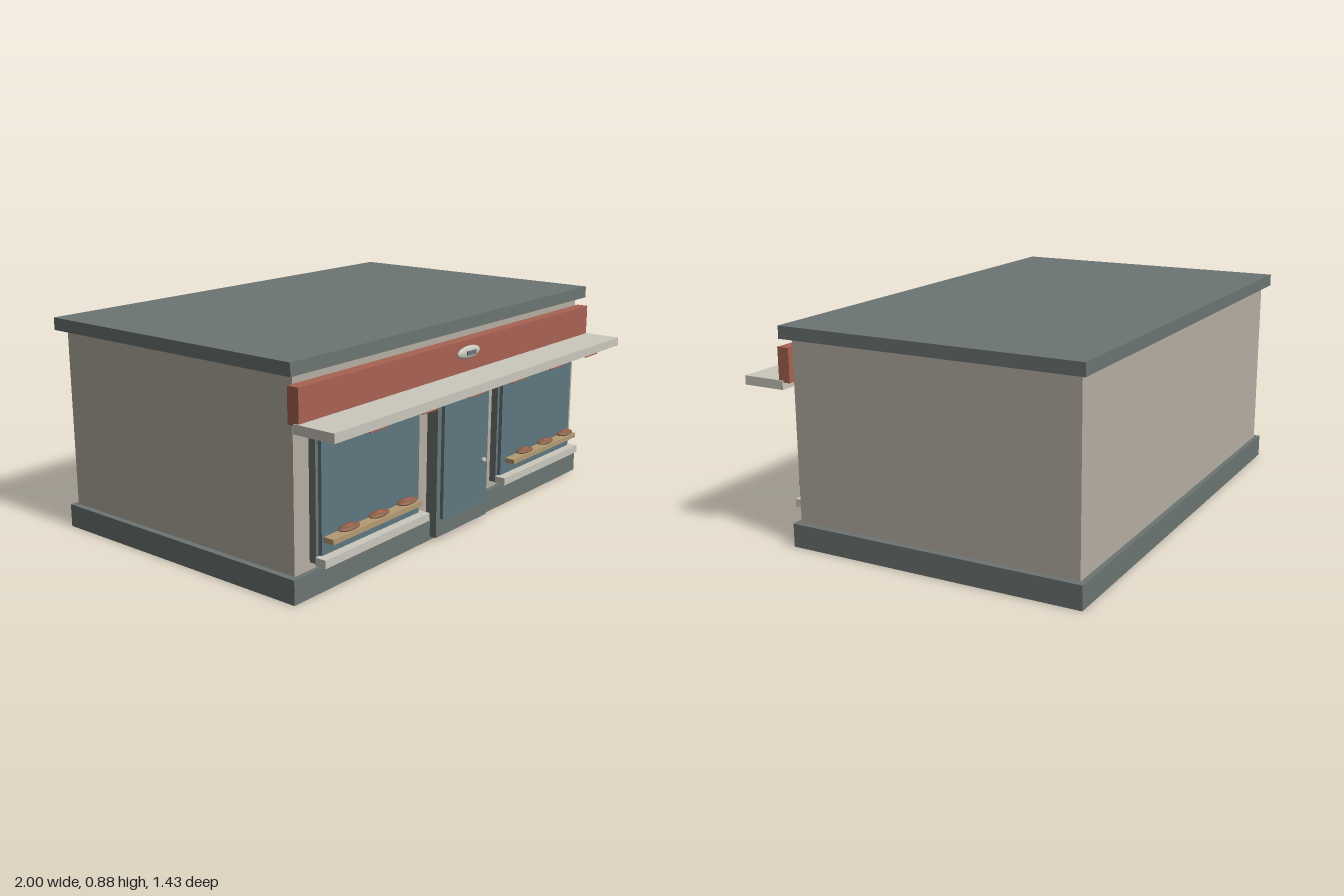
import * as THREE from 'three';

const mat = (color) => new THREE.MeshStandardMaterial({ color });

export function createModel() {
  const shop = new THREE.Group();
  shop.name = 'shop';
  const wall = mat(0xb5ada1), slate = mat(0x6c7573), red = mat(0xa86353), cream = mat(0xcbc8bd);
  const glass = mat(0x5f7780), wood = mat(0xb39b74), crust = mat(0x8a6148), filling = mat(0xa8604f);
  const metal = mat(0xb8bcbb);

  // Box given by its limits on each axis
  function box(name, material, [x0, x1], [y0, y1], [z0, z1], parent = shop) {
    const mesh = new THREE.Mesh(new THREE.BoxGeometry(x1 - x0, y1 - y0, z1 - z0), material);
    mesh.position.set((x0 + x1) / 2, (y0 + y1) / 2, (z0 + z1) / 2);
    mesh.name = name;
    parent.add(mesh);
    return mesh;
  }

  // Ellipsoid given by centre and half sizes
  function ellipsoid(name, material, centre, half, parent = shop) {
    const mesh = new THREE.Mesh(new THREE.SphereGeometry(1, 24, 14), material);
    mesh.position.set(...centre);
    mesh.scale.set(...half);
    mesh.name = name;
    parent.add(mesh);
    return mesh;
  }

  // Building shell
  box('plinth', slate, [-0.985, 0.985], [0, 0.095], [-0.705, 0.53]);
  box('walls', wall, [-0.96, 0.96], [0.05, 0.83], [-0.685, 0.51]);
  box('roof', slate, [-1, 1], [0.825, 0.875], [-0.715, 0.54]);

  // Fascia, canopy and the strips beneath it
  box('fascia', red, [-0.985, 0.985], [0.655, 0.79], [0.51, 0.56]);
  box('canopy', cream, [-0.99, 0.99], [0.627, 0.663], [0.54, 0.72]);
  for (let i = 0; i < 6; i++) {
    const x = -0.75 + i * 0.3;
    box('canopyStrip', red, [x - 0.05, x + 0.05], [0.621, 0.63], [0.541, 0.719]);
  }

  // Oval sign with a small raised plate
  ellipsoid('sign', cream, [0, 0.745, 0.575], [0.077, 0.026, 0.013]);
  box('signPlate', slate, [-0.03, 0.03], [0.737, 0.753], [0.575, 0.592]);

  // Door
  const door = new THREE.Group();
  door.name = 'door';
  shop.add(door);
  box('doorFrame', slate, [-0.18, 0.18], [0.015, 0.59], [0.51, 0.56], door);
  box('doorPane', glass, [-0.155, 0.155], [0.09, 0.565], [0.55, 0.575], door);
  ellipsoid('doorKnob', metal, [0.118, 0.272, 0.583], [0.012, 0.012, 0.012], door);

  // Display windows, one each side of the door
  for (const side of [-1, 1]) {
    const win = new THREE.Group();
    win.name = side < 0 ? 'rightWindow' : 'leftWindow';
    win.position.x = side * 0.58;
    shop.add(win);
    box('windowFrame', slate, [-0.3, 0.3], [0.125, 0.63], [0.505, 0.54], win);
    box('windowPane', glass, [-0.286, 0.286], [0.15, 0.615], [0.53, 0.555], win);
    box('sill', cream, [-0.31, 0.31], [0.123, 0.155], [0.545, 0.592], win);

    // Shelf with three pies
    const shelfX = side * 0.012;
    box('shelf', wood, [shelfX - 0.264, shelfX + 0.264], [0.204, 0.224], [0.55, 0.6], win);
    for (let i = -1; i <= 1; i++) {
      const x = shelfX + i * 0.172;
      ellipsoid('pie', crust, [x, 0.245, 0.595], [0.054, 0.01, 0.026], win);
      ellipsoid('pieFilling', filling, [x, 0.249, 0.595], [0.026, 0.008, 0.013], win);
    }
  }
  return shop;
}
